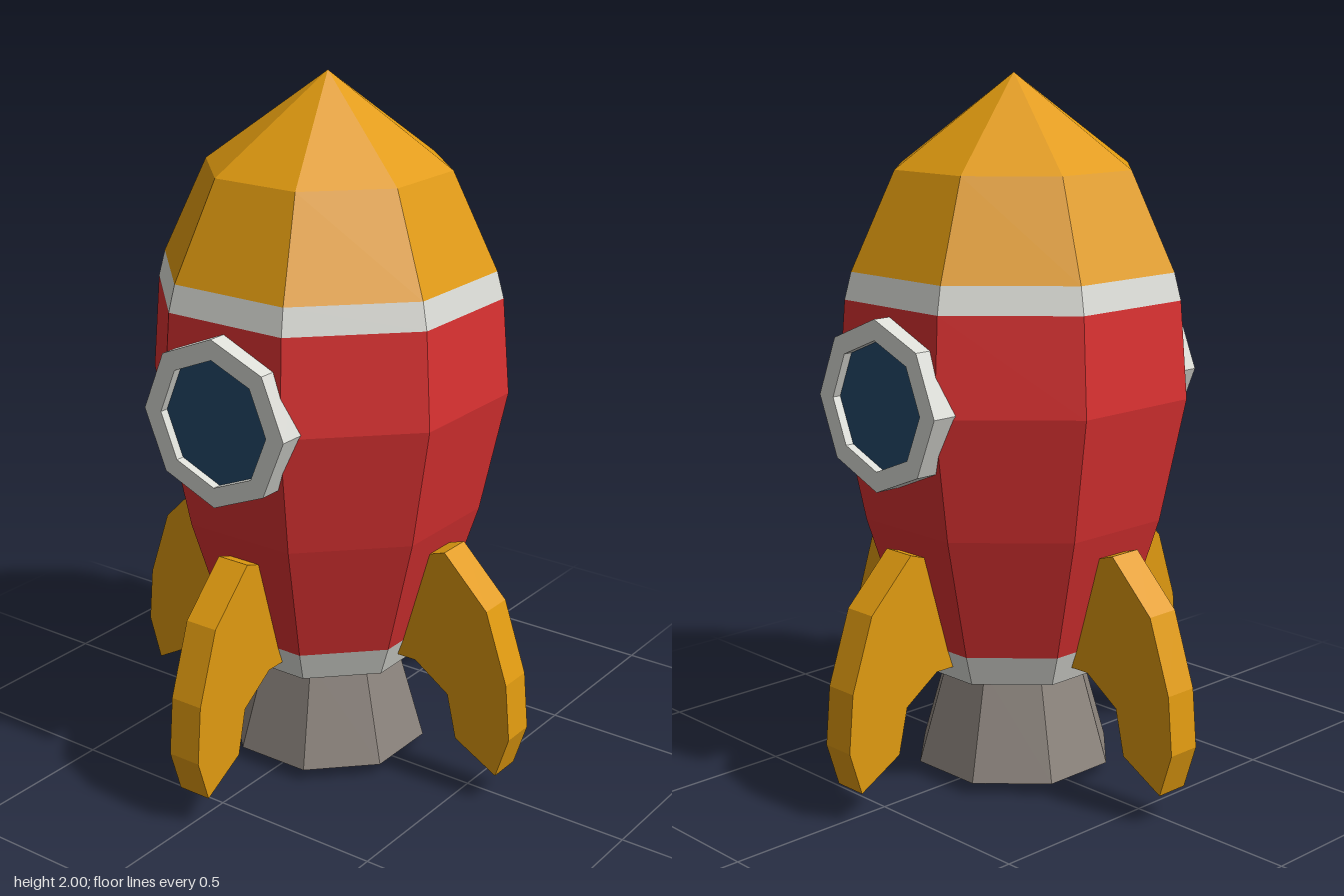
import * as THREE from 'three';

const paint = (name, color, side = THREE.FrontSide) => {
  const m = new THREE.MeshStandardMaterial({ color, flatShading: true, side });
  m.name = name;
  return m;
};

export function createModel() {
  const red = paint('red', 0xd93131);
  const orange = paint('orange', 0xe09a10);
  const white = paint('white', 0xdcddd7);
  const grey = paint('warm grey', 0x8c847d);
  const blue = paint('window blue', 0x254a6d);

  const rocket = new THREE.Group();
  rocket.name = 'rocket';

  const add = (parent, name, geometry, material) => {
    const flat = geometry.index ? geometry.toNonIndexed() : geometry;
    flat.computeVertexNormals();
    const mesh = new THREE.Mesh(flat, material);
    mesh.name = name;
    parent.add(mesh);
    return mesh;
  };

  // Eight-sided shell from [distance to flat side, height] pairs, bottom to top
  const shell = (name, profile, material) => {
    const pts = profile.map(([a, y]) => new THREE.Vector2(a / Math.cos(Math.PI / 8), y));
    return add(rocket, name, new THREE.LatheGeometry(pts, 8, Math.PI / 8), material);
  };

  // Hull
  shell('lowerBand', [[0, 0.33], [0.27, 0.33], [0.303, 0.42]], white);
  shell('body', [[0.303, 0.42], [0.408, 0.78], [0.475, 1.13], [0.455, 1.4]], red);
  shell('upperBand', [[0.455, 1.4], [0.437, 1.475]], white);
  shell('noseCone', [[0.437, 1.475], [0.32, 1.745], [0, 2]], orange);

  // Engine nozzle, hollow at the bottom
  shell('nozzle', [[0.16, 0.13], [0.215, 0.035], [0.27, 0.035], [0.19, 0.335]], grey);
  const glow = add(rocket, 'engineGlow', new THREE.CircleGeometry(0.18, 8, Math.PI / 8), orange);
  glow.rotation.x = Math.PI / 2;
  glow.position.y = 0.125;

  // Small teeth inside the nozzle mouth
  for (let i = 0; i < 8; i++) {
    const a = Math.PI / 8 + i * Math.PI / 4;
    const tooth = add(rocket, 'nozzleTooth', new THREE.CylinderGeometry(0.055, 0.012, 0.1, 4), white);
    tooth.position.set(0.195 * Math.sin(a), 0.05, 0.195 * Math.cos(a));
    tooth.rotation.y = a;
  }

  // Four curved fins
  const finShape = new THREE.Shape([
    [0.27, 0.37], [0.345, 0.37], [0.455, 0.295], [0.485, 0.165], [0.62, 0.09], [0.66, 0.215],
    [0.645, 0.38], [0.575, 0.585], [0.435, 0.725], [0.36, 0.7],
  ].map(([x, y]) => new THREE.Vector2(x, y)));
  for (let i = 0; i < 4; i++) {
    const geo = new THREE.ExtrudeGeometry(finShape, { depth: 0.1, bevelEnabled: false });
    geo.translate(0, 0, -0.05);
    add(rocket, 'fin', geo, orange).rotation.y = i * Math.PI / 2;
  }

  // Portholes on both sides
  const octagon = (r) => Array.from({ length: 8 }, (_, i) =>
    new THREE.Vector2(r * Math.cos(i * Math.PI / 4), r * Math.sin(i * Math.PI / 4)));
  for (const side of [1, -1]) {
    const porthole = new THREE.Group();
    porthole.name = side > 0 ? 'leftPorthole' : 'rightPorthole';
    const frame = new THREE.Shape(octagon(0.235));
    frame.holes.push(new THREE.Path(octagon(0.178)));
    const geo = new THREE.ExtrudeGeometry(frame, { depth: 0.15, bevelEnabled: false });
    add(porthole, 'portholeFrame', geo, white).position.z = 0.36;
    add(porthole, 'windowGlass', new THREE.CircleGeometry(0.18, 8), blue).position.z = 0.485;
    porthole.position.y = 1.14;
    porthole.rotation.y = side * Math.PI / 2;
    rocket.add(porthole);
  }

  return rocket;
}
